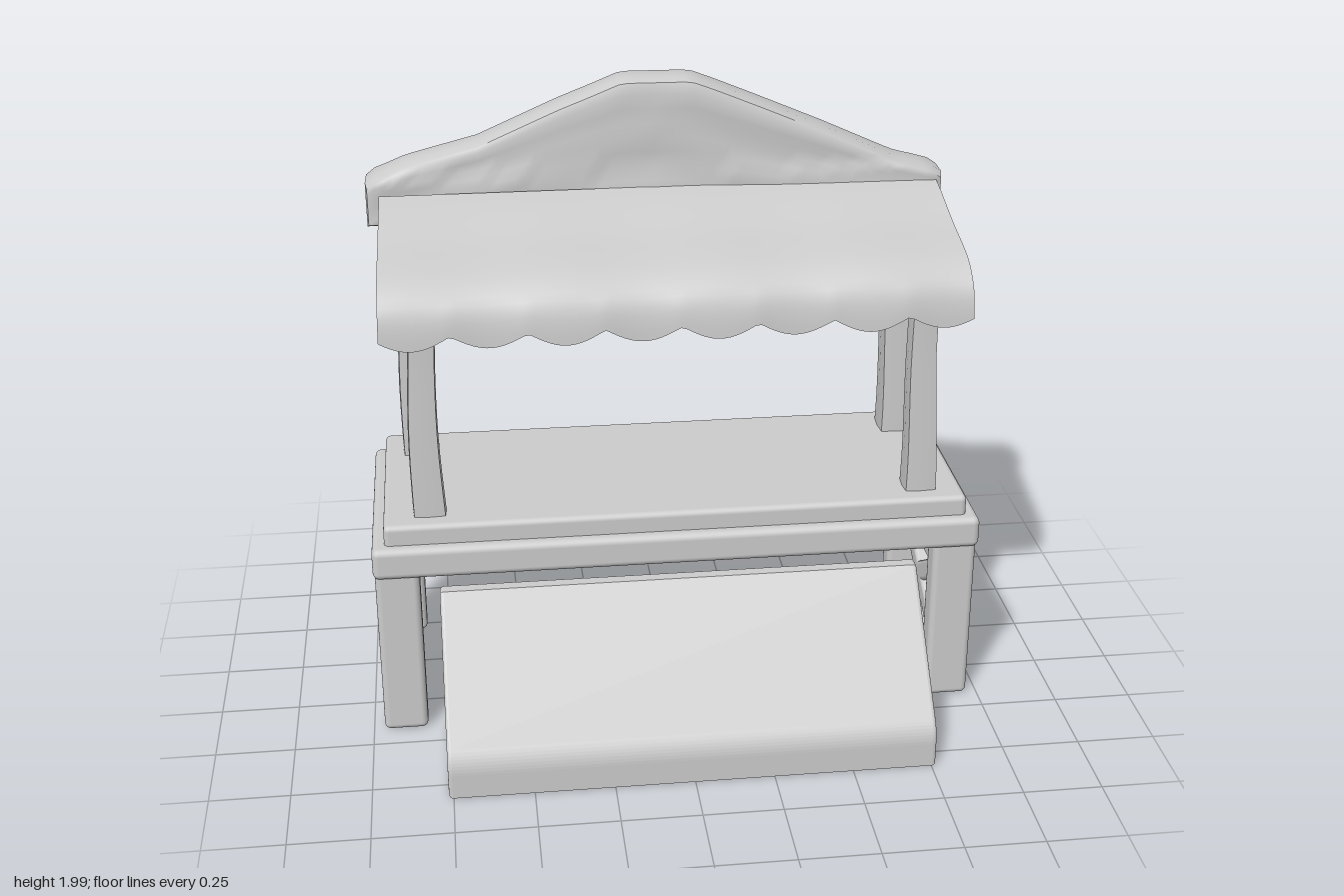
import * as THREE from 'three';
import { RoundedBoxGeometry } from 'three/addons/geometries/RoundedBoxGeometry.js';

const material = new THREE.MeshStandardMaterial({ color: 0xcccccc });
const clothMaterial = new THREE.MeshStandardMaterial({ color: 0xcccccc, side: THREE.DoubleSide });

function add(parent, name, geometry, mat = material) {
  const mesh = new THREE.Mesh(geometry, mat);
  mesh.name = name;
  parent.add(mesh);
  return mesh;
}

// Rounded box given by its extents on each axis
function block(parent, name, [x0, x1], [y0, y1], [z0, z1], radius = 0.015) {
  const mesh = add(parent, name, new RoundedBoxGeometry(x1 - x0, y1 - y0, z1 - z0, 3, radius));
  mesh.position.set((x0 + x1) / 2, (y0 + y1) / 2, (z0 + z1) / 2);
  return mesh;
}

// Move every vertex by a rule, then refresh the normals
function reshape(geometry, rule) {
  const p = geometry.attributes.position;
  const v = new THREE.Vector3();
  for (let i = 0; i < p.count; i++) {
    rule(v.fromBufferAttribute(p, i));
    p.setXYZ(i, v.x, v.y, v.z);
  }
  geometry.computeVertexNormals();
  return geometry;
}

function lerpTable(table, x) {
  for (let i = 1; i < table.length; i++) {
    const [x0, y0] = table[i - 1], [x1, y1] = table[i];
    if (x <= x1) return y0 + (y1 - y0) * (x - x0) / (x1 - x0);
  }
  return table[table.length - 1][1];
}

// Hand-hewn post, a little waisted and wider at the foot
function post(parent, name, x, z, width, depth, y0, y1) {
  const geometry = reshape(new THREE.BoxGeometry(width, y1 - y0, depth, 2, 14, 2), (v) => {
    const y = v.y + (y0 + y1) / 2;
    const s = y < 0.74 ? 1 : 1 - 0.2 * Math.min(1, (y - 0.74) / 0.5);
    const corner = Math.abs(v.x) > width * 0.4 && Math.abs(v.z) > depth * 0.4 ? 0.93 : 1;
    v.x = v.x * s * corner + 0.006 * Math.sin(y * 7 + x * 3);
    v.z *= s * corner;
  });
  add(parent, name, geometry).position.set(x, (y0 + y1) / 2, z);
}

// Legs, rails and crossed braces of one end of the table
function tableEnd(side) {
  const end = new THREE.Group();
  end.name = side > 0 ? 'leftTableEnd' : 'rightTableEnd';
  block(end, 'frontLeg', [0.825, 0.965], [0.01, 0.6], [0.085, 0.175], 0.02);
  block(end, 'backLeg', [0.825, 0.965], [0.01, 0.6], [-0.535, -0.45], 0.02);
  block(end, 'lowerRail', [0.845, 0.95], [0.01, 0.12], [-0.5, 0.13]);
  block(end, 'upperRail', [0.845, 0.95], [0.445, 0.59], [-0.5, 0.13]);
  for (const tilt of [-1, 1]) {
    const brace = block(end, 'crossBrace', [0.865, 0.935], [0.25, 0.32], [-0.51, 0.15]);
    brace.position.z = -0.185;
    brace.rotation.x = tilt * 0.54;
  }
  // small gussets where braces meet the frame
  for (const y of [0.13, 0.435]) for (const z of [0.08, -0.445]) {
    const gusset = block(end, 'braceGusset', [0.865, 0.935], [y - 0.035, y + 0.035], [z - 0.035, z + 0.035]);
    gusset.rotation.x = Math.PI / 4;
  }
  if (side < 0) end.scale.x = -1;
  return end;
}

// Sloping display board in front: a soft-edged wedge
function displayRamp() {
  const r = 0.012;
  const s = new THREE.Shape();
  s.moveTo(-0.16 - r, 0.01 + r);
  s.lineTo(-0.16 - r, 0.525 - r);
  s.lineTo(-0.18 - r, 0.525 - r);
  s.lineTo(-0.535, 0.17 - r);
  s.quadraticCurveTo(-0.575 + r, 0.13, -0.575 + r, 0.09);
  s.lineTo(-0.575 + r, 0.01 + r);
  s.closePath();
  const geometry = new THREE.ExtrudeGeometry(s, {
    depth: 1.53 - 2 * r, bevelThickness: r, bevelSize: r, bevelSegments: 3, curveSegments: 8,
  });
  geometry.translate(0, 0, -(1.53 - 2 * r) / 2);
  geometry.rotateY(Math.PI / 2); // shape x becomes -z
  return geometry;
}

// Thick carved gable with a wavy top and rough back
function gableGeometry() {
  const top = [[-0.94, 1.66], [-0.92, 1.69], [-0.8, 1.74], [-0.57, 1.8], [-0.31, 1.915], [-0.22, 1.95],
    [-0.11, 1.995], [0.11, 1.995], [0.19, 1.965], [0.325, 1.91], [0.54, 1.82], [0.775, 1.715], [0.9, 1.68], [0.93, 1.66]];
  return reshape(new THREE.BoxGeometry(1.86, 1, 0.16, 62, 10, 4), (v) => {
    const t = v.y + 0.5;
    const back = v.z < -0.07, face = Math.abs(v.z) > 0.07;
    const rim = t < 0.01 || t > 0.99 || Math.abs(v.x) > 0.92;
    const x = v.x;
    const y0 = 1.53, y1 = lerpTable(top, x);
    v.y = y0 + (y1 - y0) * t;
    // rounded rim
    if (face && rim) {
      v.z *= 0.86;
      if (t > 0.99) v.y -= 0.012;
      if (t < 0.01) v.y += 0.012;
      if (Math.abs(x) > 0.92) v.x *= 0.993;
    }
    // wood grain grooves
    const grain = Math.sin(v.y * 32 + Math.abs(x) * 11 + Math.sin(x * 5));
    if (face && !rim) v.z += grain * (back ? 0.01 : 0.003);
    // thicker at the foot
    if (v.y < 1.7) v.z *= 1.12;
  });
}

// Cloth awning: sloping sheet that rolls over the front into a scalloped edge
function awningGeometry() {
  const curve = new THREE.CatmullRomCurve3([
    [1.635, -0.36], [1.615, -0.28], [1.565, -0.12], [1.53, 0.02], [1.505, 0.09], [1.455, 0.145], [1.395, 0.163], [1.345, 0.168],
  ].map(([y, z]) => new THREE.Vector3(0, y, z)));
  const half = 0.015;
  return reshape(new THREE.BoxGeometry(1.79, 2 * half, 1, 96, 1, 28), (v) => {
    const t = THREE.MathUtils.clamp(v.z + 0.5, 0, 1);
    const p = curve.getPointAt(t), d = curve.getTangentAt(t);
    const scallop = 0.042 * (1 - Math.abs(Math.cos(Math.PI * (v.x - 0.12) / 0.23))) - 0.008;
    const hang = Math.max(0, (t - 0.8) / 0.2);
    const ripple = 0.005 * Math.sin(v.x * 13) * t;
    const offset = v.y + ripple;
    v.x *= 1 + 0.012 * t;
    v.y = p.y + d.z * offset + scallop * hang;
    v.z = p.z - d.y * offset;
  });
}

export function createModel() {
  const stall = new THREE.Group();
  stall.name = 'marketStall';

  // Table
  block(stall, 'counterSlab', [-0.97, 0.97], [0.57, 0.675], [-0.575, 0.19], 0.022);
  block(stall, 'counterTop', [-0.93, 0.93], [0.64, 0.74], [-0.54, 0.155], 0.018);
  for (const side of [-1, 1]) {
    stall.add(tableEnd(side));
    post(stall, 'frontPost', side * 0.785, 0.048, 0.105, 0.1, 0.7, 1.515);
    post(stall, 'backPost', side * 0.81, -0.418, 0.12, 0.12, 0.51, 1.6);
  }
  add(stall, 'displayRamp', displayRamp());

  // Roof
  const gable = add(stall, 'gable', gableGeometry());
  gable.position.set(-0.008, 0, -0.445);
  gable.rotation.y = -0.025;
  add(stall, 'awning', awningGeometry(), clothMaterial);
  return stall;
}
